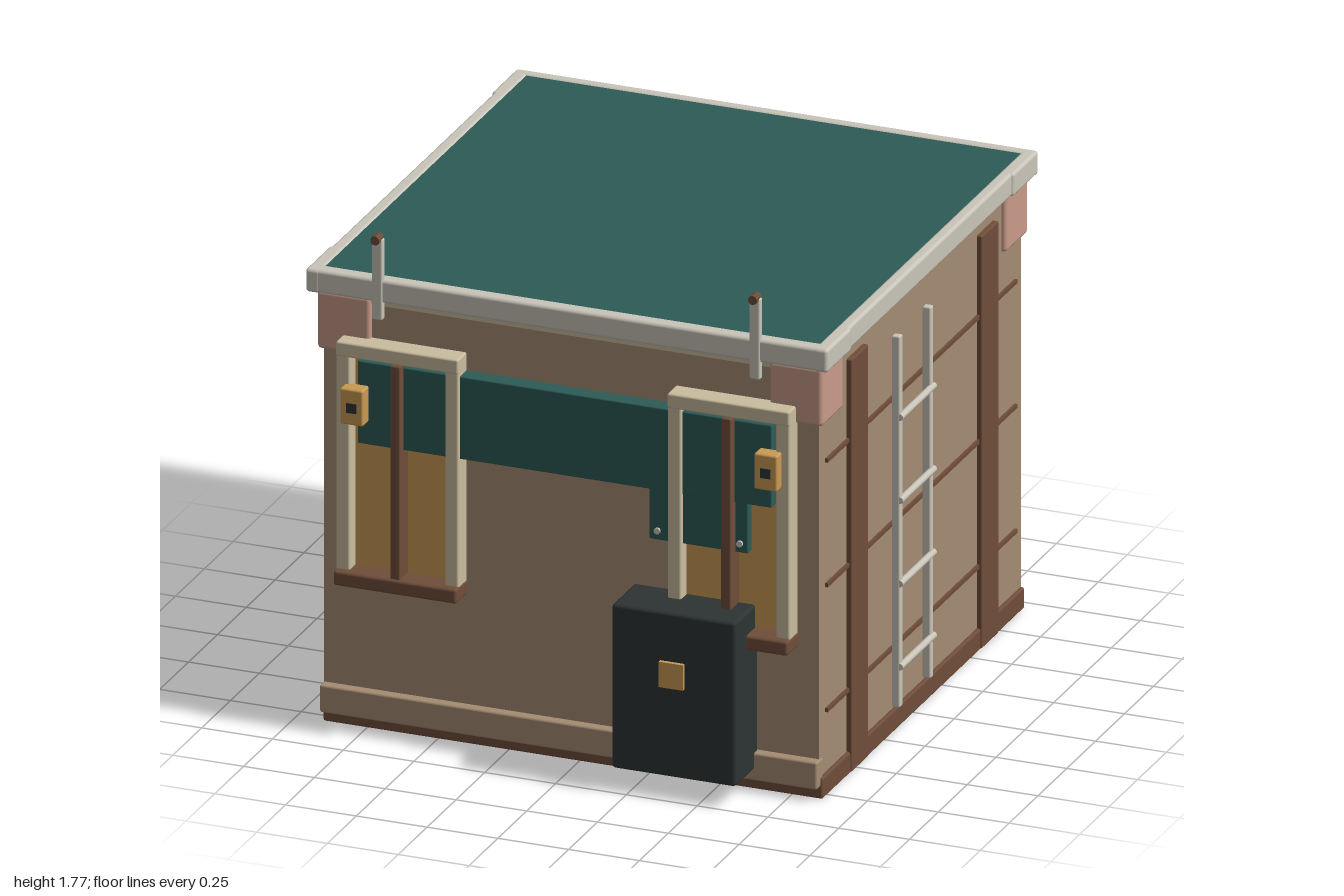
import * as THREE from 'three';
import { RoundedBoxGeometry } from 'three/addons/geometries/RoundedBoxGeometry.js';

export function createModel() {
  const model = new THREE.Group();
  model.name = 'cabin';

  const paint = (name, color) => {
    const m = new THREE.MeshStandardMaterial({ color });
    m.name = name;
    return m;
  };
  const tan = paint('tan wall', 0xa58d73);
  const brown = paint('brown wood', 0x6f4d3a);
  const cream = paint('cream frame', 0xcabd9f);
  const grey = paint('pale grey metal', 0xc9c5b9);
  const green = paint('deep green', 0x2c5b57);
  const amber = paint('amber', 0xc99a53);
  const black = paint('charcoal', 0x2c3433);
  const pink = paint('dusty pink', 0xc99b89);

  // Box given by its extents, with an optional rounded edge
  function box(name, mat, [x0, x1], [y0, y1], [z0, z1], r = 0, parent = model) {
    const w = x1 - x0, h = y1 - y0, d = z1 - z0;
    const geo = r ? new RoundedBoxGeometry(w, h, d, 2, r) : new THREE.BoxGeometry(w, h, d);
    const mesh = new THREE.Mesh(geo, mat);
    mesh.position.set((x0 + x1) / 2, (y0 + y1) / 2, (z0 + z1) / 2);
    mesh.name = name;
    parent.add(mesh);
    return mesh;
  }
  function rod(name, mat, radius, length, x, y, z, axis = 'y', parent = model) {
    const mesh = new THREE.Mesh(new THREE.CylinderGeometry(radius, radius, length, 14), mat);
    if (axis === 'z') mesh.rotation.x = Math.PI / 2;
    mesh.position.set(x, y, z);
    mesh.name = name;
    parent.add(mesh);
  }
  function group(name) {
    const g = new THREE.Group();
    g.name = name;
    model.add(g);
    return g;
  }

  // Walls, base and front skirting
  box('walls', tan, [-0.902, 0.847], [0.07, 1.54], [-0.954, 0.793]);
  box('base', brown, [-0.905, 0.86], [0, 0.075], [-0.957, 0.796], 0.008);
  box('frontSkirting', tan, [-0.905, 0.852], [0.042, 0.14], [0.77, 0.826], 0.008);
  box('upperBand', cream, [-0.905, 0.85], [1.505, 1.535], [-0.957, 0.798]);

  // Flat roof with a raised edge
  box('roof', green, [-0.902, 0.845], [1.54, 1.608], [-0.96, 0.782]);
  const edge = group('roofEdge');
  box('edgeFront', grey, [-0.95, 0.89], [1.53, 1.612], [0.78, 0.833], 0.012, edge);
  box('edgeBack', grey, [-0.95, 0.89], [1.53, 1.612], [-1, -0.957], 0.012, edge);
  box('edgeRightSide', grey, [-0.945, -0.9], [1.53, 1.612], [-0.99, 0.825], 0.012, edge);
  box('edgeLeftSide', grey, [0.842, 0.885], [1.53, 1.612], [-0.99, 0.825], 0.012, edge);

  // Corner blocks: roof edge sleeves and pink brackets below
  for (const right of [true, false]) {
    for (const front of [true, false]) {
      const z = front ? [0.625, 0.812] : [-0.975, -0.785];
      const x = right ? [-0.92, -0.732] : [0.678, 0.865];
      box('cornerBracket', pink, x, [1.325, 1.532], z, 0.014);
      const sleeveX = right ? [-0.952, -0.9] : [0.842, 0.892];
      const sleeveZ = front ? [0.62, 0.834] : [-1, -0.78];
      box('edgeSleeve', grey, sleeveX, [1.529, 1.612], sleeveZ, 0.012, edge);
    }
  }

  // Side posts and grooves on the ladder wall
  for (const z of [[0.41, 0.555], [-0.717, -0.573]])
    box('sidePost', brown, [0.83, 0.866], [0.005, 1.467], z, 0.006);
  for (const y of [0.295, 0.738, 1.18])
    box('sideBatten', brown, [0.84, 0.857], [y - 0.007, y + 0.007], [-0.9, 0.742]);

  // Ladder
  const ladder = group('ladder');
  for (const z of [0.302, 0.035])
    box('ladderRail', grey, [0.907, 0.937], [0.15, 1.467], [z - 0.014, z + 0.014], 0.006, ladder);
  for (const y of [0.295, 0.59, 0.885, 1.18])
    rod('ladderRung', grey, 0.012, 0.296, 0.936, y, 0.167, 'z', ladder);

  // Two front windows
  for (const [x0, mullionX] of [[-0.83, -0.615], [0.34, 0.554]]) {
    const x1 = x0 + 0.432;
    const win = group('window');
    box('pane', amber, [x0 + 0.03, x1 - 0.03], [0.56, 1.35], [0.79, 0.815], 0, win);
    box('stile', cream, [x0, x0 + 0.048], [0.57, 1.36], [0.79, 0.866], 0.007, win);
    box('stile', cream, [x1 - 0.048, x1], [0.57, 1.36], [0.79, 0.866], 0.007, win);
    box('lintel', cream, [x0, x1], [1.335, 1.387], [0.79, 0.87], 0.007, win);
    box('mullion', brown, [mullionX - 0.018, mullionX + 0.018], [0.56, 1.337], [0.81, 0.884], 0.006, win);
    box('sill', brown, [x0, x1 + 0.003], [0.53, 0.582], [0.79, 0.893], 0.01, win);
  }

  // Green board across the front with a lower tab and studs
  box('frontBoard', green, [-0.76, 0.703], [1.03, 1.323], [0.79, 0.852], 0.005);
  box('boardTab', green, [0.268, 0.617], [0.852, 1.04], [0.79, 0.846], 0.005);
  for (const x of [0.298, 0.589]) rod('tabStud', grey, 0.011, 0.012, x, 0.885, 0.848, 'z');

  // Amber lamps with dark centres
  for (const x of [-0.76, 0.703]) {
    box('lamp', amber, [x - 0.041, x + 0.041], [1.113, 1.24], [0.85, 0.906], 0.007);
    box('lampCentre', black, [x - 0.018, x + 0.018], [1.157, 1.191], [0.904, 0.909]);
  }

  // Front cabinet
  box('cabinet', black, [0.192, 0.63], [0.08, 0.662], [0.79, 0.986], 0.012);
  box('cabinetPlate', amber, [0.364, 0.45], [0.4, 0.49], [0.984, 1]);

  // Short poles with knobs on the front roof edge
  for (const x of [-0.698, 0.636]) {
    box('pole', grey, [x - 0.019, x + 0.019], [1.47, 1.757], [0.812, 0.838], 0.006);
    rod('poleKnob', brown, 0.016, 0.04, x, 1.757, 0.834, 'z');
  }
  return model;
}
